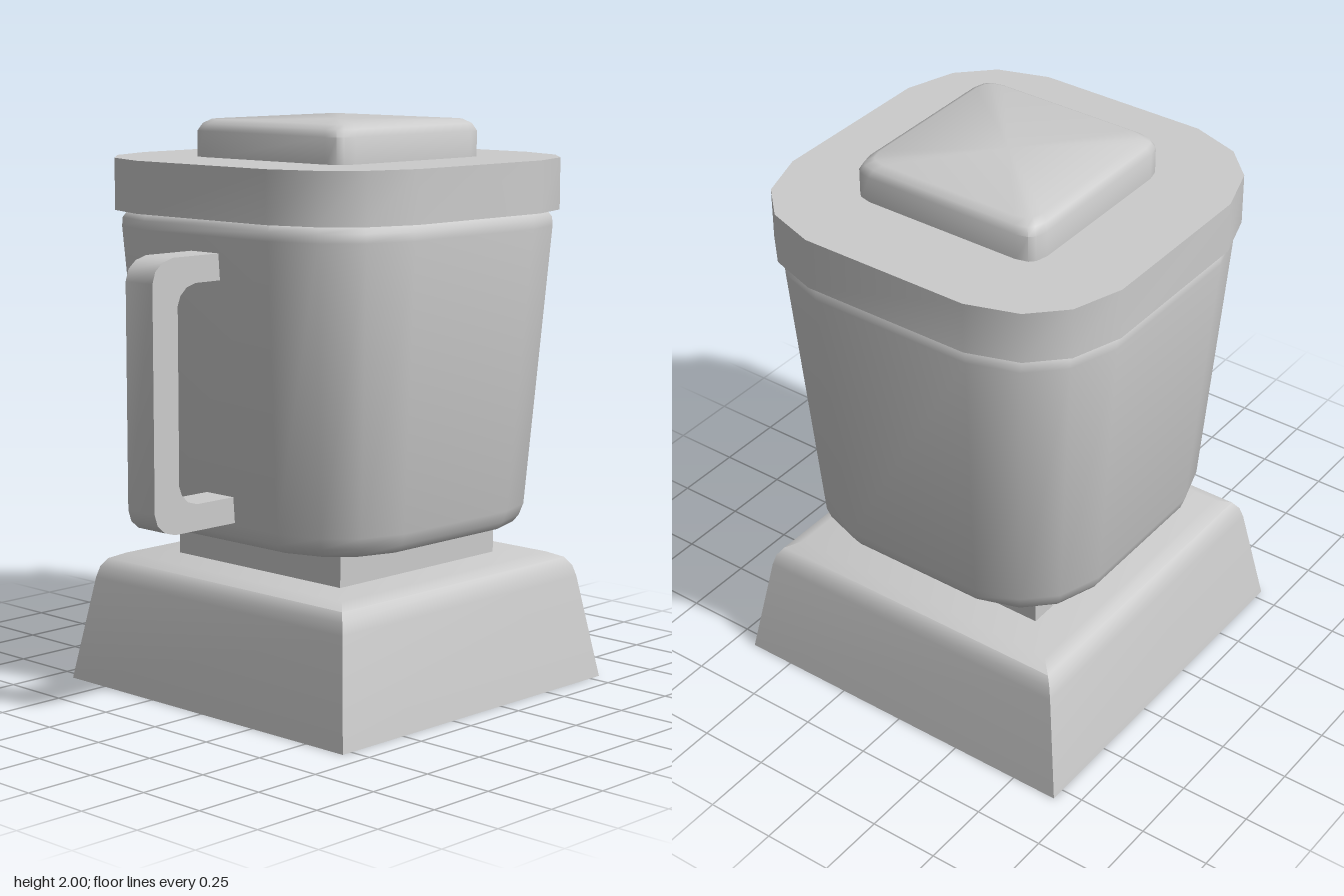
import * as THREE from 'three';
import { toCreasedNormals } from 'three/addons/utils/BufferGeometryUtils.js';

const CENTER_Z = -0.13;
const material = new THREE.MeshStandardMaterial({ color: 0xcccccc });

// Square outline of half width 1, ordered from +x towards +z.
// Each corner is given by its points; the other three are turned copies.
function squareRing(corner) {
  const ring = [];
  for (let q = 0; q < 4; q++) {
    for (const [x, z] of corner) {
      ring.push([[x, z], [-z, x], [-x, -z], [z, -x]][q]);
    }
  }
  return ring;
}

// Closed solid through scaled copies of a ring; levels are [y, half width].
function loft(ring, levels, crease = 0.75) {
  const n = ring.length, pos = [], index = [];
  for (const [y, s] of levels) for (const [x, z] of ring) pos.push(x * s, y, z * s);
  for (let j = 0; j < levels.length - 1; j++) {
    for (let i = 0; i < n; i++) {
      const a = j * n + i, b = j * n + (i + 1) % n;
      index.push(a, a + n, b, b, a + n, b + n);
    }
  }
  const last = (levels.length - 1) * n, low = pos.length / 3, high = low + 1;
  pos.push(0, levels[0][0], 0, 0, levels[levels.length - 1][0], 0);
  for (let i = 0; i < n; i++) {
    const k = (i + 1) % n;
    index.push(low, i, k, high, last + k, last + i);
  }
  const geometry = new THREE.BufferGeometry();
  geometry.setAttribute('position', new THREE.Float32BufferAttribute(pos, 3));
  geometry.setIndex(index);
  return toCreasedNormals(geometry, crease);
}

export function createModel() {
  const model = new THREE.Group();
  model.name = 'blender';
  const add = (name, geometry, z = CENTER_Z) => {
    const mesh = new THREE.Mesh(geometry, material);
    mesh.name = name;
    mesh.position.z = z;
    model.add(mesh);
  };

  const sharp = squareRing([[1, 1]]);
  const round = squareRing([[1, 0.47], [0.91, 0.74], [0.74, 0.91], [0.47, 1]]);
  const slight = squareRing([[1, 0.8], [0.97, 0.92], [0.92, 0.97], [0.8, 1]]);

  // Flared base with a softened top edge
  add('base', loft(sharp, [[0, 0.67], [0.37, 0.608], [0.41, 0.597], [0.44, 0.576], [0.46, 0.53]]));

  // Square neck between base and jar
  const neck = new THREE.BoxGeometry(0.79, 0.15, 0.79);
  neck.translate(0, 0.515, 0);
  add('neck', neck);

  // Tapered jar with rounded rims
  add('jar', loft(round, [
    [0.57, 0.49], [0.585, 0.535], [0.61, 0.552], [0.65, 0.565],
    [1.635, 0.64], [1.665, 0.638], [1.685, 0.625], [1.695, 0.59],
  ]));

  // Lid and its cap
  add('lid', loft(round, [[1.69, 0.66], [1.87, 0.66]]));
  add('lidCap', loft(slight, [[1.86, 0.363], [1.96, 0.363], [1.985, 0.35], [2, 0.325]]));

  // Handle: a bracket outlined in z and y, extruded across x
  const outline = [
    [0.45, 1.58], [0.71, 1.58], [0.755, 1.567], [0.787, 1.54], [0.8, 1.5],
    [0.8, 0.74], [0.787, 0.7], [0.755, 0.673], [0.71, 0.66], [0.38, 0.66],
    [0.38, 0.75], [0.61, 0.75], [0.65, 0.762], [0.678, 0.788], [0.69, 0.82],
    [0.69, 1.42], [0.678, 1.452], [0.65, 1.478], [0.61, 1.49], [0.45, 1.49],
  ];
  const shape = new THREE.Shape(outline.map(([z, y]) => new THREE.Vector2(z, y)));
  const handle = new THREE.ExtrudeGeometry(shape, { depth: 0.13, bevelEnabled: false });
  handle.translate(0, 0, -0.065);
  handle.rotateY(-Math.PI / 2);
  add('handle', toCreasedNormals(handle, 0.7), 0);

  return model;
}
